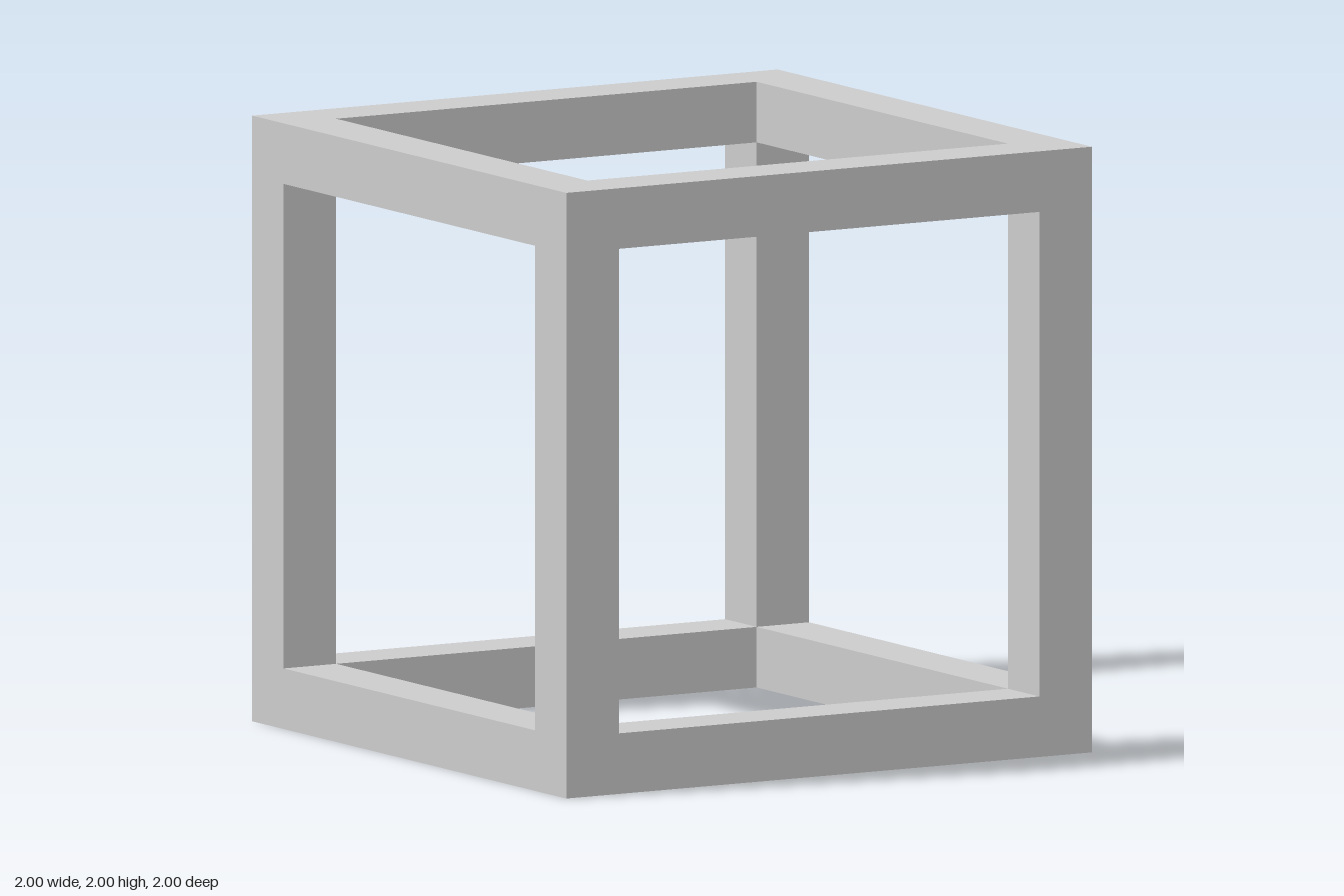
import * as THREE from 'three';

const SIZE = 2;    // outer edge of the cube frame
const BAR = 0.2;   // square bar thickness
const HALF = SIZE / 2;
const INNER = HALF - BAR;

// Square outline, half-width h
const square = (Type, h) =>
  new Type([[-h, -h], [h, -h], [h, h], [-h, h]].map(([x, y]) => new THREE.Vector2(x, y)));

export function createModel() {
  const model = new THREE.Group();
  model.name = 'cubeFrame';
  const material = new THREE.MeshStandardMaterial({ color: 0xcccccc, flatShading: true });

  const add = (name, geometry, x, y, z) => {
    const mesh = new THREE.Mesh(geometry, material);
    mesh.name = name;
    mesh.position.set(x, y, z);
    model.add(mesh);
  };

  // Square rings at the bottom and top
  const outline = square(THREE.Shape, HALF);
  outline.holes.push(square(THREE.Path, INNER));
  const ring = new THREE.ExtrudeGeometry(outline, { depth: BAR, bevelEnabled: false });
  ring.rotateX(-Math.PI / 2);
  add('bottomRing', ring, 0, 0, 0);
  add('topRing', ring, 0, SIZE - BAR, 0);

  // Four corner posts between the rings
  const post = new THREE.BoxGeometry(BAR, SIZE - 2 * BAR, BAR);
  const offset = HALF - BAR / 2;
  for (const [side, sx] of [['Left', 1], ['Right', -1]]) {
    for (const [end, sz] of [['front', 1], ['back', -1]]) {
      add(`${end}${side}Post`, post, sx * offset, HALF, sz * offset);
    }
  }
  return model;
}
